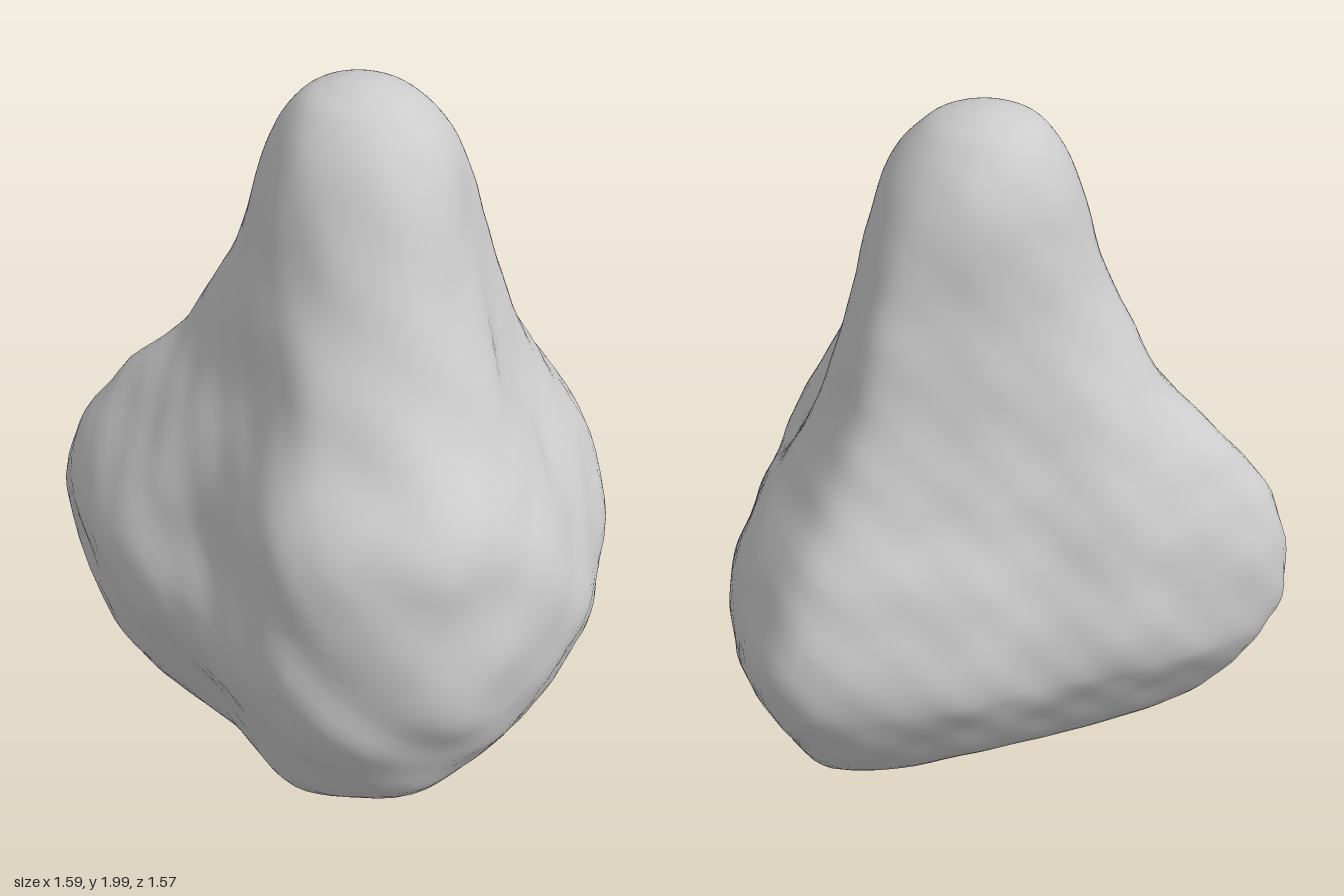
import * as THREE from 'three';
import { mergeVertices } from 'three/addons/utils/BufferGeometryUtils.js';

// Cross-sections from bottom to top: height, then radius every 30 degrees from +x towards +z
const AXIS_X = 0.06, AXIS_Z = -0.02, SIDES = 12;
const SECTIONS = [
  [0.02, 0],
  [0.015, 0.24, 0.26, 0.32, 0.32, 0.25, 0.28, 0.32, 0.24, 0.2, 0.23, 0.32, 0.28],
  [0.06, 0.47, 0.5, 0.6, 0.6, 0.46, 0.52, 0.6, 0.42, 0.37, 0.42, 0.6, 0.53],
  [0.28, 0.64, 0.68, 0.76, 0.74, 0.58, 0.68, 0.77, 0.55, 0.48, 0.56, 0.76, 0.68],
  [0.54, 0.72, 0.76, 0.84, 0.8, 0.68, 0.76, 0.85, 0.64, 0.55, 0.64, 0.85, 0.76],
  [0.8, 0.64, 0.73, 0.81, 0.78, 0.61, 0.73, 0.83, 0.6, 0.5, 0.58, 0.78, 0.7],
  [1.0, 0.52, 0.64, 0.77, 0.74, 0.55, 0.59, 0.7, 0.53, 0.44, 0.48, 0.65, 0.58],
  [1.2, 0.42, 0.52, 0.61, 0.59, 0.46, 0.45, 0.51, 0.44, 0.38, 0.41, 0.53, 0.48],
  [1.5, 0.34, 0.39, 0.43, 0.42, 0.37, 0.34, 0.34, 0.32, 0.31, 0.34, 0.42, 0.38],
  [1.8, 0.27, 0.28, 0.29, 0.28, 0.27, 0.25, 0.25, 0.25, 0.26, 0.28, 0.29, 0.28],
  [1.94, 0.17],
  [1.987, 0.08],
  [2.0, 0],
];

// Uneven, gently hammered surface
function bump(p) {
  return 0.006 * Math.sin(11 * p.x + 5 * p.y + 1) * Math.sin(9 * p.z - 7 * p.y)
    + 0.005 * Math.sin(17 * p.y + 6 * p.x) * Math.cos(15 * p.z - 8 * p.x + 2)
    + 0.003 * Math.sin(29 * p.x + 1.5) * Math.sin(27 * p.y + 21 * p.z);
}

function lobedBody(around, up) {
  // Twelve profile curves running from the underside to the peak
  const profiles = [];
  for (let k = 0; k < SIDES; k++) {
    const a = (k / SIDES) * Math.PI * 2;
    const points = SECTIONS.map((s) => {
      const r = s.length > 2 ? s[k + 1] : s[1];
      return new THREE.Vector3(r * Math.cos(a), s[0], r * Math.sin(a));
    });
    profiles.push(new THREE.CatmullRomCurve3(points, false, 'catmullrom', 0.5));
  }

  const positions = [], index = [];
  for (let i = 0; i <= up; i++) {
    const ring = new THREE.CatmullRomCurve3(
      profiles.map((c) => c.getPoint(i / up)), true, 'catmullrom', 0.5);
    for (let j = 0; j < around; j++) {
      const p = ring.getPoint(j / around);
      const swell = 1 + bump(p) / 0.5;
      p.x = p.x * swell + AXIS_X;
      p.z = p.z * swell + AXIS_Z;
      // The underside rises towards the side and back lobes
      const low = Math.max(0, 1 - p.y / 0.5);
      p.y += low * Math.max(0, 0.05 - 0.12 * p.x - 0.18 * p.z);
      p.y = Math.max(0, p.y);
      positions.push(p.x, p.y, p.z);
      if (i < up) {
        const n = (j + 1) % around;
        const a = i * around + j, b = i * around + n;
        if (i < up - 1) index.push(a, a + around, b + around);
        else index.push(a, a + around, b);
        if (i > 0 && i < up - 1) index.push(a, b + around, b);
      }
    }
  }
  const geometry = new THREE.BufferGeometry();
  geometry.setAttribute('position', new THREE.Float32BufferAttribute(positions, 3));
  geometry.setIndex(index);
  const merged = mergeVertices(geometry, 1e-5);
  merged.computeVertexNormals();
  return merged;
}

export function createModel() {
  const group = new THREE.Group();
  group.name = 'lobedRock';
  const body = new THREE.Mesh(
    lobedBody(96, 72), new THREE.MeshStandardMaterial({ color: 0xcccccc }));
  body.name = 'rockBody';
  group.add(body);
  return group;
}
